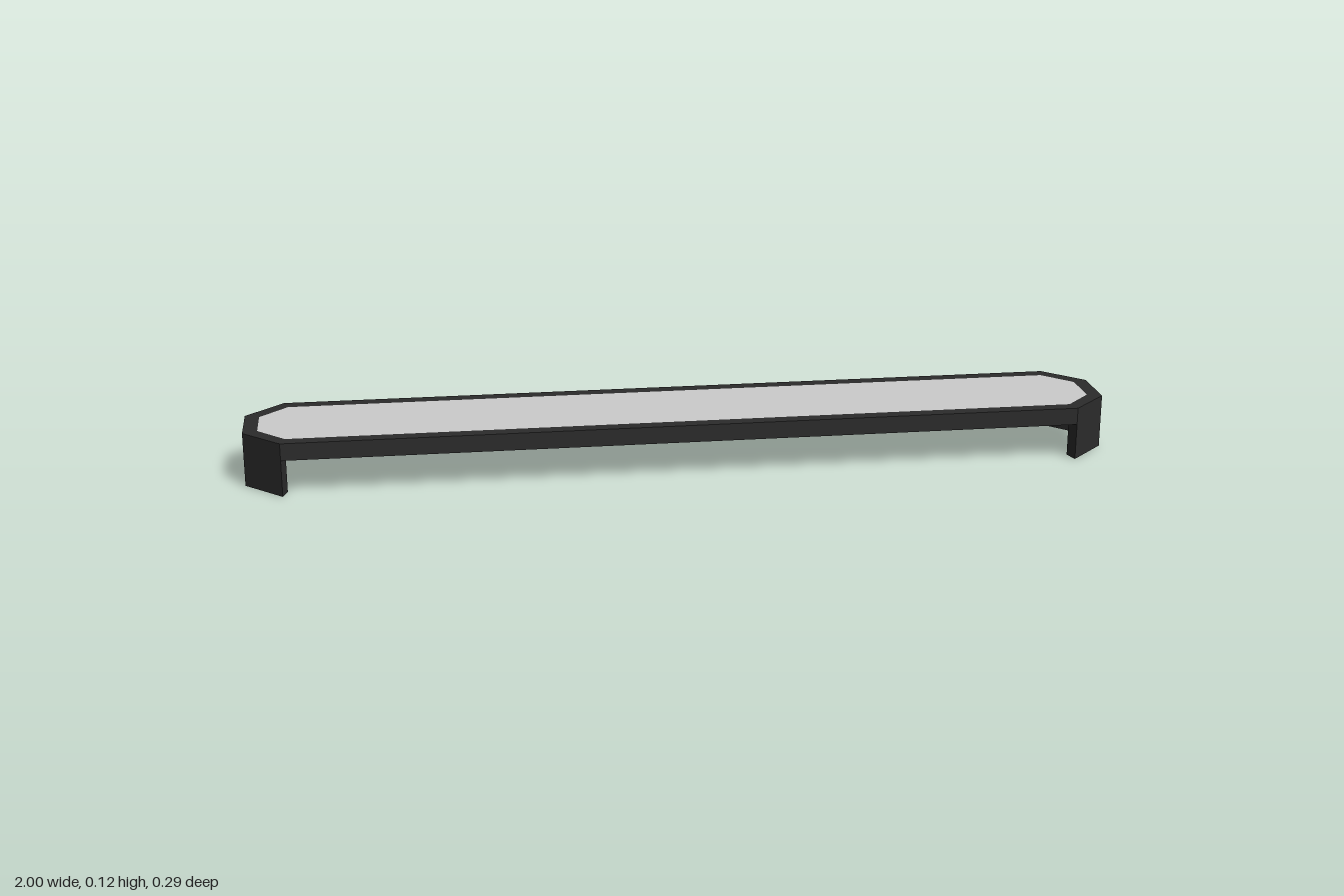
import * as THREE from 'three';

const TOP = 0.125, UNDERSIDE = 0.085;
// Chamfer corners of one quadrant: end-side point, long-side point
const OUTER = [[1, 0.0625], [0.914, 0.147]];
const INNER = [[0.967, 0.05], [0.904, 0.115]];

const toPoints = (list) => list.map(([x, y]) => new THREE.Vector2(x, y));

// Chamfered rectangle, counter-clockwise
function octagon([[x1, z1], [x2, z2]]) {
  return toPoints([
    [x1, -z1], [x1, z1], [x2, z2], [-x2, z2],
    [-x1, z1], [-x1, -z1], [-x2, -z2], [x2, -z2],
  ]);
}

// Upright prism standing on height y
function prism(shape, y, height) {
  return new THREE.ExtrudeGeometry(shape, { depth: height, bevelEnabled: false })
    .rotateX(-Math.PI / 2).translate(0, y, 0);
}

export function createModel() {
  const group = new THREE.Group();
  const dark = new THREE.MeshStandardMaterial({ color: 0x2b2b2b });
  const grey = new THREE.MeshStandardMaterial({ color: 0xcccccc });
  const add = (name, geometry, material) => {
    const mesh = new THREE.Mesh(geometry, material);
    mesh.name = name;
    group.add(mesh);
  };

  // Frame around the top
  const frame = new THREE.Shape(octagon(OUTER));
  frame.holes.push(new THREE.Path(octagon(INNER).reverse()));
  add('frame', prism(frame, UNDERSIDE, TOP - UNDERSIDE), dark);

  // Flush top surface and closed underside
  const inset = new THREE.Shape(octagon(INNER));
  add('topPanel', new THREE.ShapeGeometry(inset).rotateX(-Math.PI / 2).translate(0, TOP, 0), grey);
  add('bottomPanel', new THREE.ShapeGeometry(inset).rotateX(Math.PI / 2).translate(0, UNDERSIDE, 0), dark);

  // Plate legs under the four chamfered corners
  for (const [end, sx] of [['Left', 1], ['Right', -1]]) {
    for (const [side, sz] of [['front', 1], ['back', -1]]) {
      const corners = [OUTER[0], OUTER[1], INNER[1], INNER[0]].map(([x, z]) => [x * sx, -z * sz]);
      add(`${side}${end}Leg`, prism(new THREE.Shape(toPoints(corners)), 0, UNDERSIDE), dark);
    }
  }
  return group;
}
